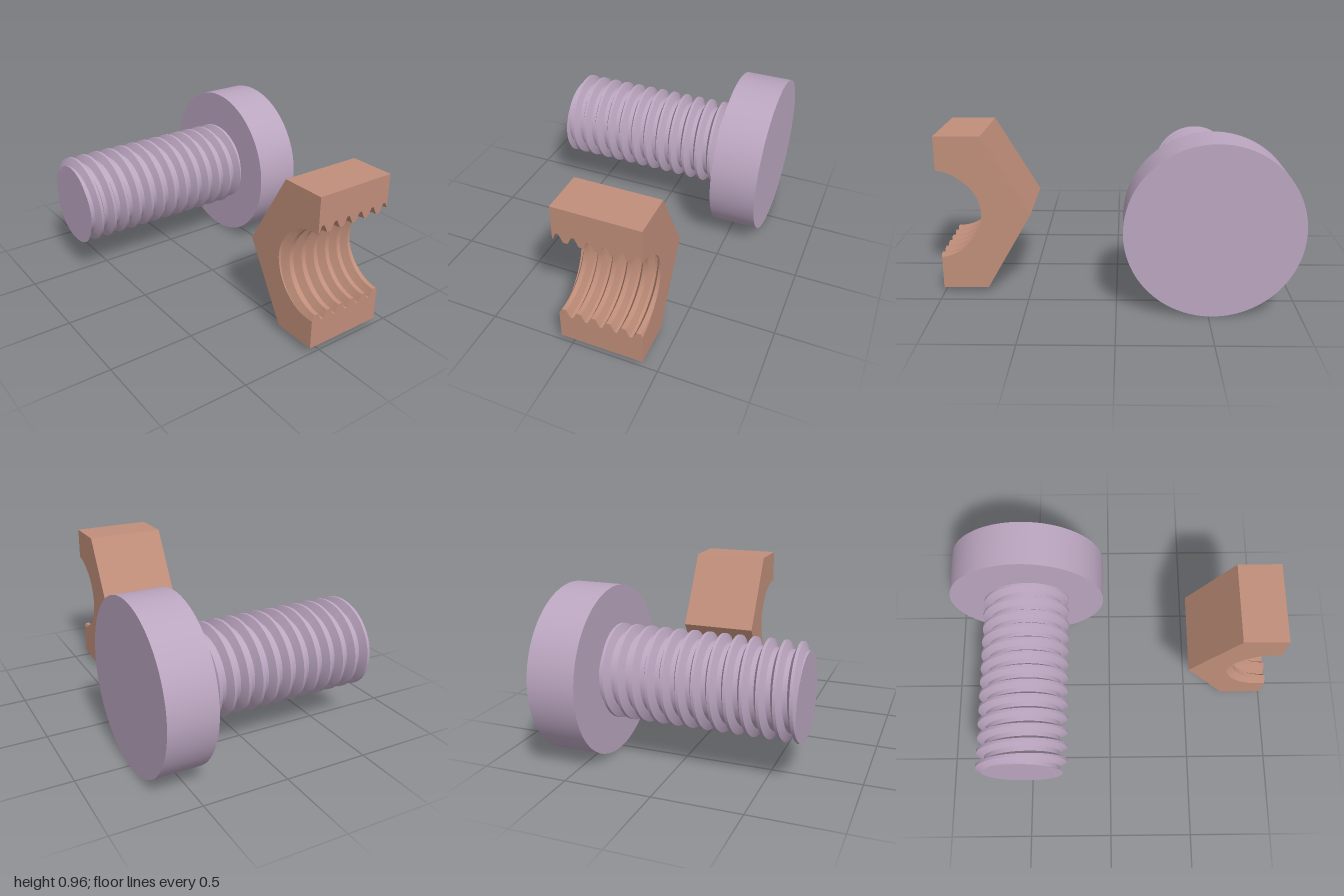
import * as THREE from 'three';
import { mergeGeometries } from 'three/addons/utils/BufferGeometryUtils.js';

const TAU = Math.PI * 2;
const STEPS = 96;             // segments per turn
const PITCH = 0.0862;
const DEPTH = 0.046;          // thread depth
const PHASE = 0.642;          // z of a crest at the top of the thread
// Trapezoid tooth: crest, flank, root, flank (offsets from crest centre)
const OFFS = [-0.008, 0.008, 0.03, 0.056, PITCH - 0.008];
const LEVEL = [1, 1, 0, 0, 1];

const clamp = THREE.MathUtils.clamp;
const helixZ = (t) => PHASE + PITCH * (t - Math.PI / 2) / TAU;

// Radius of the threaded surface at height z and angle t
function threadRadius(root, z, t) {
  const u = THREE.MathUtils.euclideanModulo(z - helixZ(t) - OFFS[0], PITCH) + OFFS[0];
  let i = 0;
  while (i < 3 && u > OFFS[i + 1]) i++;
  const f = (u - OFFS[i]) / (OFFS[i + 1] - OFFS[i]);
  return root + DEPTH * THREE.MathUtils.lerp(LEVEL[i], LEVEL[i + 1], f);
}

const polar = (r, t, z) => [r * Math.cos(t), r * Math.sin(t), z];

function angles(from, to) {
  const n = Math.round((to - from) / TAU * STEPS);
  return Array.from({ length: n + 1 }, (_, i) => from + (to - from) * i / n);
}

// Surface between two rows of points; faces along x (b - a)
function loft(a, b, flat = false) {
  const index = [];
  const n = a.length;
  for (let j = 0; j < n - 1; j++) index.push(j, j + 1, n + j, j + 1, n + j + 1, n + j);
  let g = new THREE.BufferGeometry();
  g.setAttribute('position', new THREE.Float32BufferAttribute([...a, ...b].flat(), 3));
  g.setIndex(index);
  if (flat) g = g.toNonIndexed();
  g.computeVertexNormals();
  return flat ? g : g.toNonIndexed();
}

// Helical ribbons, one for each side of the tooth, trimmed to z0..z1
function threadStrips(root, z0, z1, ts, inward) {
  const row = (off) => ts.map((t) => {
    const z = clamp(helixZ(t) + off, z0, z1);
    return polar(threadRadius(root, z, t), t, z);
  });
  return [0, 1, 2, 3].map((i) => inward
    ? loft(row(OFFS[i + 1]), row(OFFS[i]))
    : loft(row(OFFS[i]), row(OFFS[i + 1])));
}

function addMesh(group, name, geometry, material) {
  const mesh = new THREE.Mesh(geometry, material);
  mesh.name = name;
  group.add(mesh);
}

function createBolt() {
  const bolt = new THREE.Group();
  bolt.name = 'bolt';
  const mat = new THREE.MeshStandardMaterial({ color: 0xbba6c0 });
  const root = 0.22, end = 0.685, neck = -0.413, back = -0.69;

  // Round head
  const head = new THREE.CylinderGeometry(0.482, 0.482, neck - back, STEPS);
  head.rotateX(Math.PI / 2).translate(0, 0, (neck + back) / 2);
  addMesh(bolt, 'boltHead', head, mat);

  // Threaded shank
  const strips = threadStrips(root, neck, end, angles(-14 * TAU, 3 * TAU), false);
  addMesh(bolt, 'boltThread', mergeGeometries(strips), mat);

  // Flat tip following the cut thread
  const ts = angles(0, TAU);
  const rim = ts.map((t) => polar(threadRadius(root, end, t), t, end));
  addMesh(bolt, 'boltTip', loft(rim, ts.map(() => [0, 0, end]), true), mat);
  return bolt;
}

function createHalfNut() {
  const nut = new THREE.Group();
  nut.name = 'halfNut';
  const mat = new THREE.MeshStandardMaterial({ color: 0xc08e7a });
  const root = 0.24, flat = 0.448, z0 = -0.415, z1 = 0.068;
  const from = Math.PI / 2, to = from + Math.PI;
  const ts = angles(from, to);

  // Hexagon outline and threaded bore outline at a given z
  const hexRadius = (t) => {
    const a = THREE.MathUtils.euclideanModulo(t - from + Math.PI / 6, Math.PI / 3) - Math.PI / 6;
    return flat / Math.cos(a);
  };
  const hex = (z) => ts.map((t) => polar(hexRadius(t), t, z));
  const bore = (z) => ts.map((t) => polar(threadRadius(root, z, t), t, z));

  // Outer walls and end faces
  addMesh(nut, 'nutWalls', loft(hex(z0), hex(z1), true), mat);
  addMesh(nut, 'nutFrontFace', loft(hex(z1), bore(z1), true), mat);
  addMesh(nut, 'nutBackFace', loft(bore(z0), hex(z0), true), mat);

  // Inner thread, one half turn at a time
  const strips = [];
  for (let k = -14; k <= -5; k++) {
    strips.push(...threadStrips(root, z0, z1, angles(from + k * TAU, to + k * TAU), true));
  }
  addMesh(nut, 'nutThread', mergeGeometries(strips), mat);

  // Cut faces above and below the bore, with the tooth profile
  for (const [t, side, name] of [[from, 1, 'upperCutFace'], [to, -1, 'lowerCutFace']]) {
    const zs = [z0];
    for (let k = -14; k <= -5; k++) {
      for (const off of OFFS.slice(0, 4)) zs.push(clamp(helixZ(t) + k * PITCH + off, z0, z1));
    }
    zs.push(z1);
    const outer = zs.map((z) => [0, side * flat, z]);
    const inner = zs.map((z) => [0, side * threadRadius(root, z, t), z]);
    addMesh(nut, name, side > 0 ? loft(outer, inner, true) : loft(inner, outer, true), mat);
  }
  return nut;
}

export function createModel() {
  const model = new THREE.Group();
  model.name = 'boltAndHalfNut';
  const bolt = createBolt();
  bolt.position.set(-0.518, 0.484, 0);
  const nut = createHalfNut();
  nut.position.set(1, 0.486, 0);
  model.add(bolt, nut);
  return model;
}
